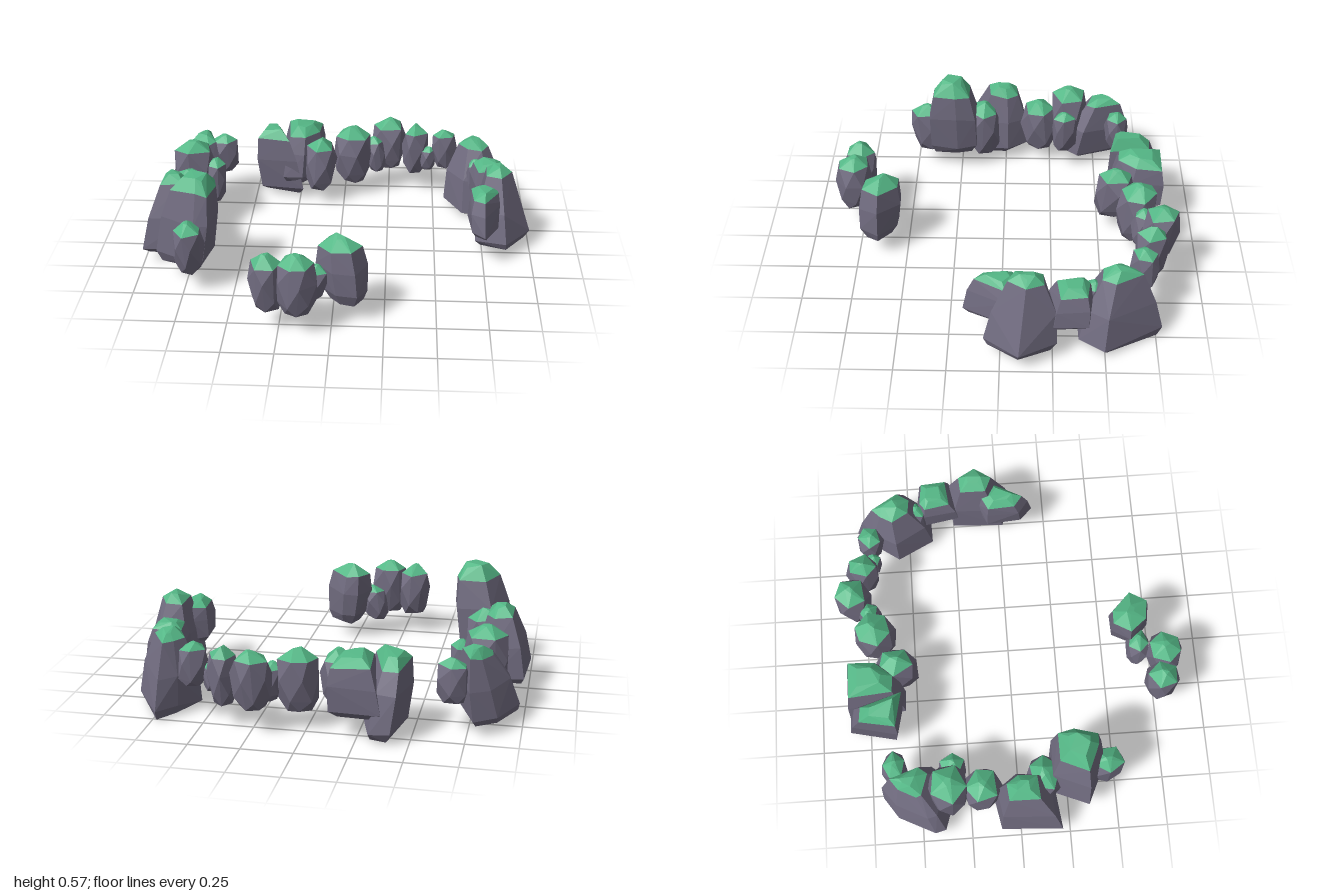
import * as THREE from 'three';
import { ConvexGeometry } from 'three/addons/geometries/ConvexGeometry.js';

const rockMaterial = new THREE.MeshStandardMaterial({ color: 0x716c80, flatShading: true });
rockMaterial.name = 'greyRock';
const mossMaterial = new THREE.MeshStandardMaterial({ color: 0x55b887, flatShading: true });
mossMaterial.name = 'greenMoss';

// Small seeded generator, returns -1..1
function seeded(seed) {
  let s = seed * 7919 + 13;
  for (let i = 0; i < 5; i++) s = (s * 16807) % 2147483647;
  return () => {
    s = (s * 16807) % 2147483647;
    return (s / 2147483647) * 2 - 1;
  };
}

// Rock profiles: [height fraction, radius]
const COLUMN = [[0, 0.62], [0.18, 0.88], [0.55, 1], [0.85, 0.85], [1, 0.2]];
const FLARED = [[0, 0.84], [0.09, 1], [0.5, 0.83], [0.9, 0.48], [1, 0.2]];
const BLOCK = [[0, 0.78], [0.11, 1], [0.55, 0.95], [0.86, 0.76], [1, 0.4]];

// Faceted hull filling a footprint box; ringAt(k) gives the outline of ring k,
// the top leans to (tx, tz)
function rock(profile, box2, [y0, y1], [tx, tz], ringAt, rnd) {
  const c = box2.getCenter(new THREE.Vector2());
  const span = box2.getSize(new THREE.Vector2());
  const h = y1 - y0;
  const points = [];
  profile.forEach(([t, r], k) => {
    for (const p of ringAt(k)) {
      const q = r * (1 + rnd() * 0.05);
      points.push(new THREE.Vector3(
        c.x + (tx - c.x) * t + (p.x - c.x) * q,
        y0 + (t + rnd() * 0.03) * h,
        c.y + (tz - c.y) * t + (p.y - c.y) * q));
    }
  });
  // Fit the points to the wanted box
  const box = new THREE.Box3().setFromPoints(points);
  const size = box.getSize(new THREE.Vector3());
  for (const p of points) {
    p.sub(box.min).divide(size);
    p.set(box2.min.x + p.x * span.x, y0 + p.y * h, box2.min.y + p.z * span.y);
  }
  // Sort the faces: moss on the upward ones near the top
  const src = new ConvexGeometry(points).attributes.position;
  const stone = [], moss = [];
  const tri = new THREE.Triangle(), n = new THREE.Vector3(), m = new THREE.Vector3();
  for (let i = 0; i < src.count; i += 3) {
    tri.setFromAttributeAndIndices(src, i, i + 1, i + 2);
    tri.getNormal(n);
    tri.getMidpoint(m);
    const mossy = n.y > 0.4 && m.y > y0 + h * 0.82;
    (mossy ? moss : stone).push(...tri.a, ...tri.b, ...tri.c);
  }
  const geo = new THREE.BufferGeometry();
  geo.setAttribute('position', new THREE.Float32BufferAttribute([...stone, ...moss], 3));
  geo.addGroup(0, stone.length / 3, 0);
  geo.addGroup(stone.length / 3, moss.length / 3, 1);
  geo.computeVertexNormals();
  return new THREE.Mesh(geo, [rockMaterial, mossMaterial]);
}

// Large rock over a given footprint of [x, z] corners
function boulder(profile, y, top, footprint) {
  return (seed) => {
    const corners = footprint.map(([x, z]) => new THREE.Vector2(x, z));
    const box2 = new THREE.Box2().setFromPoints(corners);
    return rock(profile, box2, y, top, () => corners, seeded(seed));
  };
}

// Small upright rock over an oval, each ring turned half a step
function column([x0, x1], y, [z0, z1], top, sides = 5) {
  return (seed) => {
    const rnd = seeded(seed);
    const box2 = new THREE.Box2(new THREE.Vector2(x0, z0), new THREE.Vector2(x1, z1));
    const turn = rnd() * Math.PI;
    const ringAt = (k) => Array.from({ length: sides }, (_, i) => {
      const a = turn + ((i + k / 2 + rnd() * 0.12) / sides) * Math.PI * 2;
      return new THREE.Vector2(
        (x0 + x1) / 2 + Math.cos(a) * (x1 - x0) / 2,
        (z0 + z1) / 2 + Math.sin(a) * (z1 - z0) / 2);
    });
    return rock(COLUMN, box2, y, top, ringAt, rnd);
  };
}

const CLUSTERS = {
  rightArc: [
    column([-0.76, -0.60], [0.15, 0.37], [-0.68, -0.55], [-0.68, -0.61]),
    boulder(FLARED, [0.05, 0.41], [-0.76, -0.55],
      [[-0.77, -0.69], [-0.88, -0.61], [-0.98, -0.43], [-0.96, -0.38], [-0.74, -0.31], [-0.67, -0.40]]),
    column([-0.91, -0.69], [0.08, 0.45], [-0.46, -0.26], [-0.80, -0.36]),
    column([-0.75, -0.63], [0.11, 0.36], [-0.40, -0.26], [-0.68, -0.33]),
    column([-0.90, -0.70], [0.07, 0.36], [-0.28, -0.08], [-0.81, -0.17]),
    boulder(FLARED, [0.04, 0.44], [-0.84, 0.01],
      [[-0.99, -0.11], [-0.81, -0.13], [-0.72, -0.01], [-0.75, 0.19], [-1.00, 0.21]]),
    column([-0.87, -0.67], [0.06, 0.38], [0.03, 0.21], [-0.77, 0.13]),
    boulder(BLOCK, [0.09, 0.57], [-0.67, 0.30],
      [[-0.81, 0.16], [-0.61, 0.16], [-0.59, 0.27], [-0.63, 0.43], [-0.71, 0.43], [-0.90, 0.35]]),
    column([-0.79, -0.64], [0.10, 0.38], [0.35, 0.53], [-0.72, 0.46]),
  ],
  backArc: [
    boulder(BLOCK, [0.01, 0.41], [-0.42, -0.65],
      [[-0.43, -0.85], [-0.32, -0.84], [-0.23, -0.55], [-0.49, -0.60]]),
    boulder(BLOCK, [0.10, 0.41], [-0.22, -0.73],
      [[-0.37, -0.84], [-0.12, -0.83], [-0.12, -0.66], [-0.23, -0.55], [-0.34, -0.56]]),
    column([-0.22, -0.04], [0.08, 0.37], [-0.69, -0.48], [-0.12, -0.60]),
    column([-0.06, 0.15], [0.08, 0.40], [-0.79, -0.58], [0.05, -0.70], 6),
    column([0.11, 0.23], [0.13, 0.33], [-0.77, -0.65], [0.15, -0.72]),
    column([0.15, 0.35], [0.12, 0.41], [-0.89, -0.70], [0.25, -0.81]),
    column([0.32, 0.47], [0.11, 0.40], [-0.83, -0.66], [0.40, -0.75]),
    column([0.42, 0.51], [0.15, 0.29], [-0.73, -0.64], [0.47, -0.68]),
    column([0.49, 0.63], [0.17, 0.39], [-0.76, -0.62], [0.55, -0.69]),
  ],
  leftArc: [
    boulder(FLARED, [0.00, 0.41], [0.71, -0.58],
      [[0.56, -0.56], [0.64, -0.69], [0.73, -0.78], [0.90, -0.50], [0.82, -0.37], [0.66, -0.38]]),
    column([0.67, 0.77], [0.12, 0.33], [-0.49, -0.38], [0.72, -0.45]),
    boulder(BLOCK, [0.15, 0.37], [0.78, -0.35],
      [[0.69, -0.40], [0.74, -0.44], [0.89, -0.42], [0.90, -0.25], [0.72, -0.22]]),
    boulder(FLARED, [0.04, 0.45], [0.82, -0.13],
      [[0.72, -0.25], [0.90, -0.27], [1.00, -0.09], [0.87, 0.08], [0.71, 0.01]]),
    boulder(BLOCK, [0.15, 0.38], [0.75, 0.01],
      [[0.67, -0.06], [0.75, -0.11], [0.86, -0.02], [0.75, 0.18], [0.68, 0.12]]),
  ],
  frontCluster: [
    boulder(COLUMN, [0.08, 0.43], [0.01, 0.62],
      [[-0.08, 0.63], [-0.02, 0.53], [0.06, 0.53], [0.17, 0.64], [0.11, 0.74], [0.00, 0.72]]),
    column([-0.17, -0.02], [0.10, 0.29], [0.61, 0.73], [-0.06, 0.67]),
    column([-0.26, -0.06], [0.11, 0.41], [0.70, 0.89], [-0.16, 0.79], 6),
    column([-0.39, -0.22], [0.11, 0.40], [0.69, 0.86], [-0.31, 0.78]),
  ],
};

export function createModel() {
  const model = new THREE.Group();
  model.name = 'mossyRockRing';
  let seed = 1;
  for (const [clusterName, makers] of Object.entries(CLUSTERS)) {
    const cluster = new THREE.Group();
    cluster.name = clusterName;
    makers.forEach((make, i) => {
      const mesh = make(seed++);
      mesh.name = `${clusterName}Rock${i + 1}`;
      cluster.add(mesh);
    });
    model.add(cluster);
  }
  return model;
}
